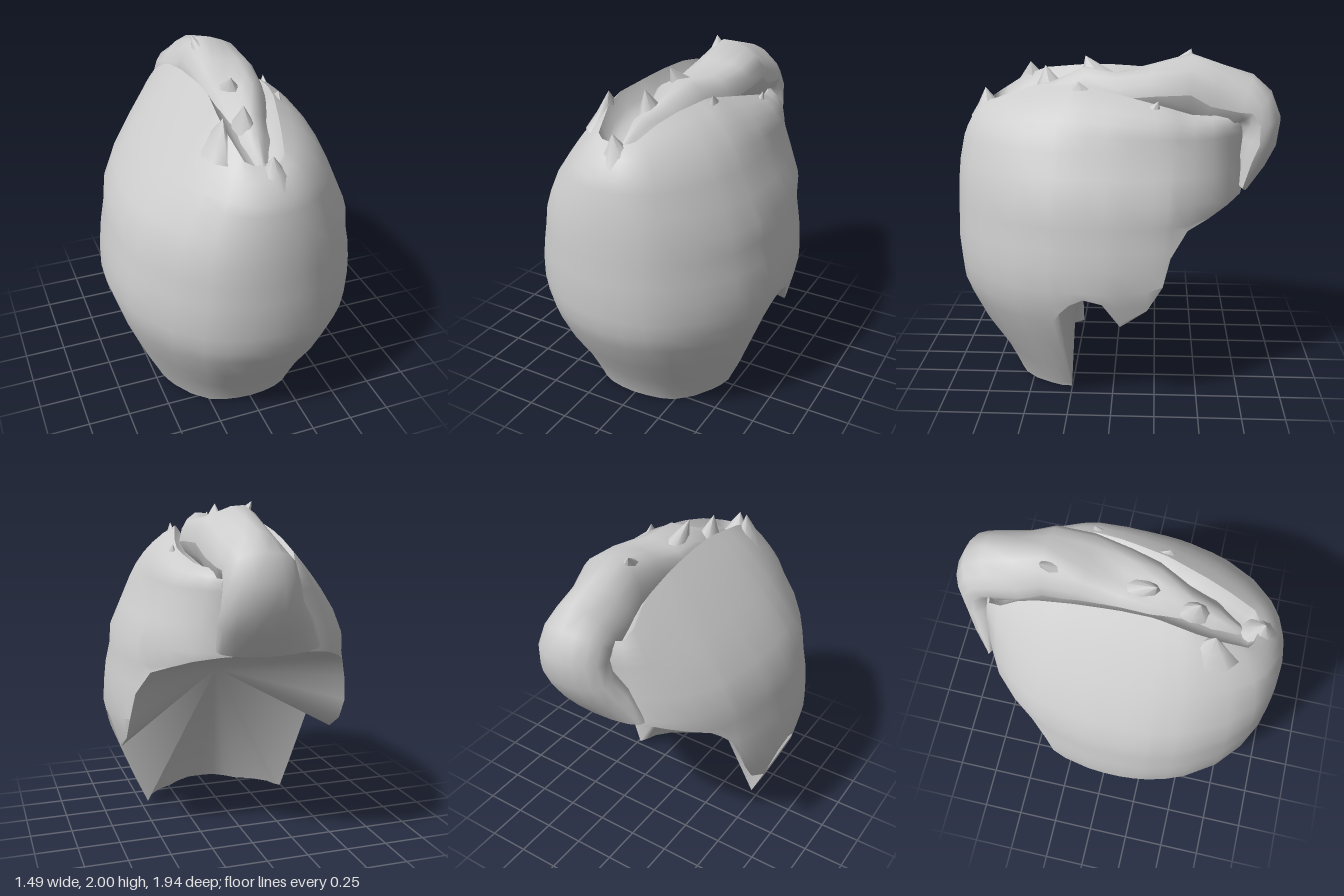
import * as THREE from 'three';

const material = new THREE.MeshStandardMaterial({ color: 0xcccccc, side: THREE.DoubleSide });
material.name = 'plain grey';

// Piecewise linear lookup in [key, value, ...] rows, keys ascending
function lookup(rows, k, col = 1) {
  if (k <= rows[0][0]) return rows[0][col];
  for (let i = 1; i < rows.length; i++) {
    const a = rows[i - 1], b = rows[i];
    if (k <= b[0]) return a[col] + (b[col] - a[col]) * (k - a[0]) / (b[0] - a[0]);
  }
  return rows[rows.length - 1][col];
}

// Smooth surface through a grid of points
function gridGeometry(rows) {
  const n = rows[0].length, index = [];
  for (let i = 0; i < rows.length - 1; i++) {
    for (let j = 0; j < n - 1; j++) {
      const a = i * n + j, b = a + n;
      index.push(a, a + 1, b, a + 1, b + 1, b);
    }
  }
  const g = new THREE.BufferGeometry().setFromPoints(rows.flat());
  g.setIndex(index);
  g.computeVertexNormals();
  return g;
}

function addMesh(group, geometry, name) {
  const mesh = new THREE.Mesh(geometry, material);
  mesh.name = name;
  group.add(mesh);
  return mesh;
}

// Half width (left, right) and front depth by height
const WIDTH = [[0, 0.47, 0.47], [0.05, 0.49, 0.49], [0.15, 0.54, 0.54], [0.3, 0.605, 0.605], [0.55, 0.705, 0.705],
  [0.75, 0.745, 0.745], [0.95, 0.73, 0.73], [1.1, 0.695, 0.695], [1.22, 0.685, 0.675],
  [1.4, 0.6, 0.585], [1.5, 0.555, 0.5]];
const FRONT = [[0, 0.62], [0.05, 0.64], [0.2, 0.71], [0.38, 0.83], [0.63, 0.95], [0.87, 0.97],
  [1.2, 0.96], [1.4, 0.94], [1.5, 0.915]];
// Squareness of the rear outline by height, 1 being an ellipse
const REAR = [[1.05, 0.95], [1.25, 0.86], [1.5, 0.84]];
const LEVELS = [0, 0.05, 0.2, 0.38, 0.55, 0.65, 0.75, 0.87, 0.98, 1.1, 1.22, 1.36, 1.5];
// Lower rim height by angle from the front
const RIM = [[0, 0.02], [10, 0.02], [20, 0.01], [30, 0], [45, 0.01], [60, 0.02], [68, 0.02], [75, 0.03], [78, 0.61],
  [82, 0.67], [87, 0.71], [93, 0.68], [99, 0.53], [109, 0.63], [115, 0.77], [118, 0.93],
  [125, 1.07], [135, 1.12], [147, 1.17], [160, 1.2], [180, 1.21]];
// Parting edges: z, x, y
const LEFT_CREST = [[-0.76, 0.29, 1.65], [-0.45, 0.33, 1.67], [-0.27, 0.38, 1.73], [-0.05, 0.34, 1.78],
  [0.2, 0.27, 1.83], [0.5, 0.18, 1.8], [0.76, 0.1, 1.7]];
const RIGHT_CREST = [[-0.76, 0.2, 1.66], [-0.5, 0.14, 1.82], [-0.25, 0.13, 1.87], [0, 0.12, 1.89],
  [0.2, 0.12, 1.89], [0.5, 0.16, 1.86], [0.76, 0.1, 1.7]];

function wallPoint(deg, y, side) {
  const a = deg * Math.PI / 180, c = Math.cos(a);
  const depth = c > 0 ? lookup(FRONT, y) - 0.1 : 0.88;
  const e = c > 0 ? 0.95 : lookup(REAR, y);
  const x = side * lookup(WIDTH, y, side > 0 ? 1 : 2) * Math.abs(Math.sin(a)) ** e;
  return new THREE.Vector3(x, y, 0.1 + depth * Math.sign(c) * Math.abs(c) ** e);
}

// One column of the shell, from the rim up to the parting
function column(deg, side) {
  const low = lookup(RIM, deg);
  const points = LEVELS.map(y => wallPoint(deg, Math.max(y, low), side));
  const wall = points[points.length - 1];
  const z = wall.z * (wall.z > 0 ? 0.82 : 0.97);
  const crest = side > 0 ? LEFT_CREST : RIGHT_CREST;
  const x = Math.min(lookup(crest, z, 1), Math.abs(wall.x) * 0.75) * side;
  const top = new THREE.Vector3(x, lookup(crest, z, 2), z);
  const swell = side > 0 ? 1.14 : 1.03;
  const bend = wall.clone().lerp(top, 0.5).multiply(new THREE.Vector3(swell, 1, 1.03));
  bend.y += side > 0 ? 0.06 : 0.02;
  const curve = new THREE.QuadraticBezierCurve3(wall, bend, top);
  return points.concat(curve.getPoints(5).slice(1));
}

// Swept lock: z, y of its outer line, centre x, half width, thickness
const LOCK = [[0.66, 1.66, 0.03, 0.06, 0.1], [0.52, 1.76, 0.04, 0.11, 0.2], [0.36, 1.8, 0.06, 0.13, 0.22],
  [0.18, 1.9, 0.08, 0.17, 0.28], [0, 1.89, 0.11, 0.19, 0.28], [-0.2, 1.93, 0.13, 0.2, 0.32],
  [-0.44, 1.98, 0.12, 0.2, 0.4], [-0.62, 1.91, 0.1, 0.2, 0.42], [-0.79, 1.85, 0.09, 0.2, 0.38],
  [-0.91, 1.77, 0.08, 0.2, 0.32], [-0.97, 1.62, 0.08, 0.21, 0.28], [-0.95, 1.46, 0.07, 0.23, 0.25],
  [-0.89, 1.33, 0.04, 0.27, 0.24], [-0.79, 1.2, 0, 0.3, 0.12]];

function lockGeometry() {
  const rows = LOCK.map(([z, y, x, w, h], i) => {
    const a = LOCK[Math.max(i - 1, 0)], b = LOCK[Math.min(i + 1, LOCK.length - 1)];
    const len = Math.hypot(b[0] - a[0], b[1] - a[1]);
    const nz = (b[1] - a[1]) / len, ny = (a[0] - b[0]) / len; // outward direction
    const ring = [];
    for (let k = 0; k <= 16; k++) {
      const t = k / 16 * Math.PI * 2;
      const crease = i < 9 ? 0.02 * Math.cos(3 * t + i) * Math.max(0, Math.sin(t)) : 0;
      const d = h * (Math.sin(t) - 1) / 2 + crease;
      ring.push(new THREE.Vector3(x + w * Math.cos(t), y + ny * d, z + nz * d));
    }
    return ring;
  });
  return gridGeometry(rows);
}

// Jagged tips: point x, y, z, then the base centre x, y, z, and the base half width and half length
const TIPS = [
  [-0.16, 1.9, 0.53, -0.19, 1.7, 0.5, 0.09, 0.18], [0, 1.9, 0.42, 0.03, 1.7, 0.36, 0.1, 0.16],
  [0.02, 1.96, 0.18, 0.08, 1.78, 0.02, 0.11, 0.2], [0, 2, -0.44, 0.1, 1.82, -0.3, 0.13, 0.2],
  [0.3, 1.85, 0.2, 0.3, 1.7, 0.14, 0.06, 0.18], [0.02, 1.77, 0.78, 0.04, 1.6, 0.74, 0.12, 0.13],
  [0.4, 1.76, -0.25, 0.39, 1.62, -0.15, 0.07, 0.14]];

function tipGeometry([x, y, z, bx, by, bz, w, l]) {
  const point = new THREE.Vector3(x, y, z), rows = [];
  for (let k = 0; k <= 8; k++) {
    const t = k / 8 * Math.PI * 2;
    const foot = new THREE.Vector3(bx + w * Math.cos(t), by, bz + l * Math.sin(t));
    const middle = foot.clone().lerp(point, 0.5);
    middle.y -= 0.01;
    rows.push([foot, middle, point.clone()]);
  }
  return gridGeometry(rows);
}

export function createModel() {
  const group = new THREE.Group();
  group.name = 'hairpiece';

  // Outer shell, running from the back round the front and to the back again
  const angles = RIM.map(r => r[0]);
  const rightSide = angles.map(a => column(a, -1));
  const leftSide = angles.map(a => column(a, 1));
  const shell = [...rightSide.slice(1).reverse(), ...leftSide];
  addMesh(group, gridGeometry(shell), 'outerShell');

  // Sunken parting between the two top edges
  const roof = leftSide.map((col, i) => {
    const l = col[col.length - 1], r = rightSide[i][col.length - 1], row = [];
    const dip = Math.min(0.12, Math.abs(l.x - r.x) * 0.45);
    for (let k = 0; k <= 8; k++) {
      const p = r.clone().lerp(l, k / 8);
      p.y -= dip * Math.sqrt(Math.abs(Math.sin(Math.PI * k / 8)));
      row.push(p);
    }
    return row;
  });
  addMesh(group, gridGeometry(roof), 'parting');

  // Hollow underside, a fan from the rim to one inner point
  const rim = shell.map(col => col[0]);
  const fan = new THREE.BufferGeometry().setFromPoints([new THREE.Vector3(0, 0.9, 0.23), ...rim]);
  const index = [];
  for (let i = 1; i < rim.length; i++) index.push(0, i, i + 1);
  fan.setIndex(index);
  fan.computeVertexNormals();
  addMesh(group, fan, 'innerHollow');

  // Central lock, curling down at the back
  addMesh(group, lockGeometry(), 'centralLock');

  // Pointed tips along the top
  for (const tip of TIPS) addMesh(group, tipGeometry(tip), 'hairTip');
  return group;
}
